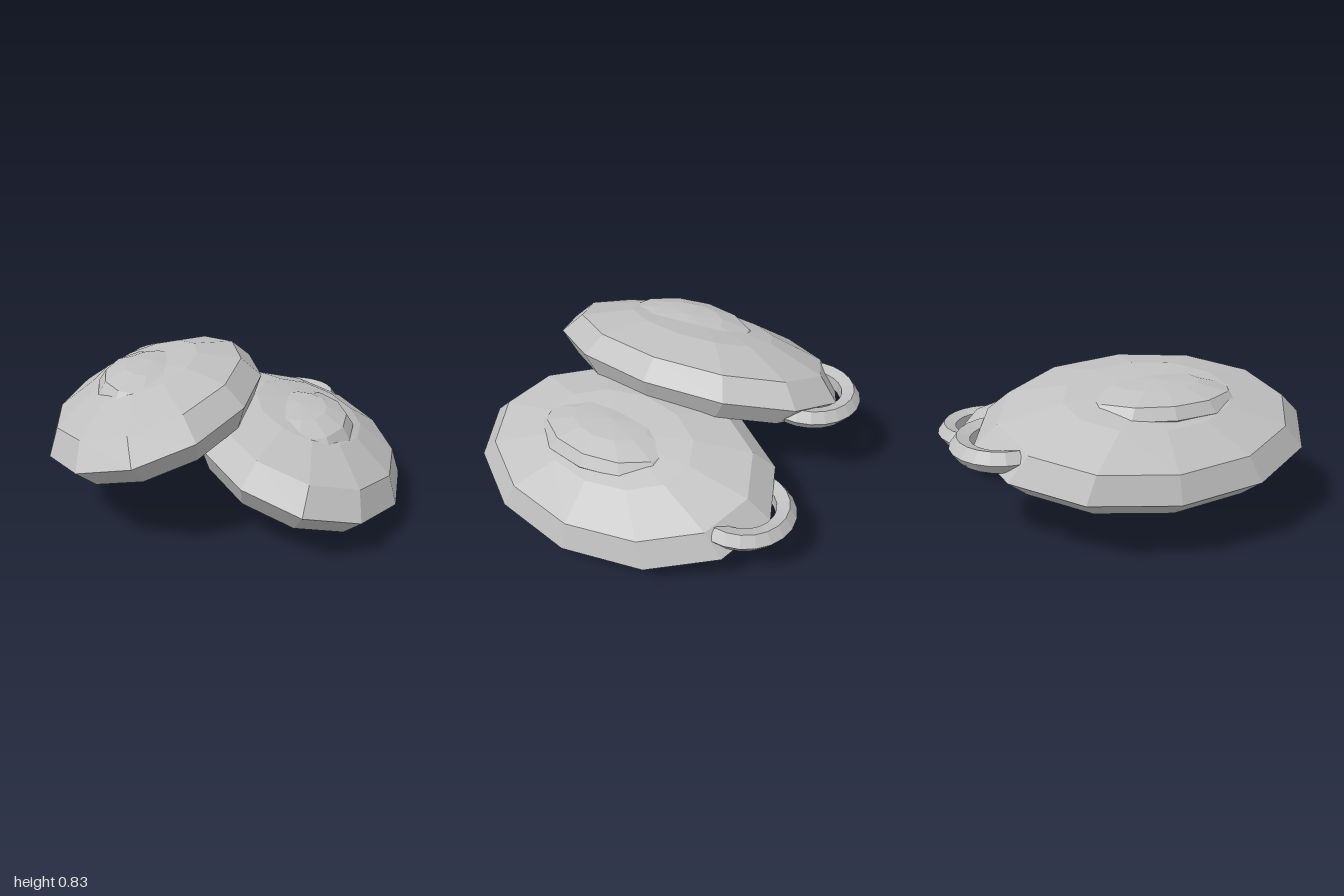
import * as THREE from 'three';

const grey = new THREE.MeshStandardMaterial({ color: 0xc0c0c0, flatShading: true });
grey.name = 'light grey';

// Faceted ellipsoid with the given half sizes
function ellipsoid(name, rx, ry, rz) {
  const geometry = new THREE.SphereGeometry(1, 12, 6).scale(rx, ry, rz);
  const mesh = new THREE.Mesh(geometry, grey);
  mesh.name = name;
  return mesh;
}

// Five-sided ring handle, open towards the front, with closed ends
function ringHandle() {
  const R = 0.23, r = 0.06, extra = 0.12;
  const handle = new THREE.Group();
  handle.name = 'ringHandle';
  const arc = Math.PI + 2 * extra;
  const ring = new THREE.Mesh(
    new THREE.TorusGeometry(R, r, 5, 12, arc).rotateZ(-extra).rotateX(-Math.PI / 2), grey);
  ring.name = 'ring';
  handle.add(ring);
  for (const end of [0, 1]) {
    const cap = new THREE.CircleGeometry(r, 5);
    // turn the cap to face out of the tube end, one corner pointing outwards
    cap.rotateX(end ? -Math.PI / 2 : Math.PI / 2);
    cap.translate(R, 0, 0).rotateZ(end ? Math.PI + extra : -extra).rotateX(-Math.PI / 2);
    const mesh = new THREE.Mesh(cap, grey);
    mesh.name = 'ringEnd';
    handle.add(mesh);
  }
  return handle;
}

// One tilted shell with its level dome and rear handle
function createHalf(name, side, y) {
  const half = new THREE.Group();
  half.name = name;

  const shell = ellipsoid('shell', 0.62, 0.25, 0.91);
  shell.position.z = 0.06;
  shell.rotation.z = -side * 0.28;

  const dome = ellipsoid('dome', 0.305, 0.122, 0.455);
  dome.position.set(side * 0.005, 0.15, 0.13);

  const handle = ringHandle();
  handle.position.set(0, 0.002, -0.683);

  half.add(shell, dome, handle);
  half.position.set(side * 0.404, y, 0);
  return half;
}

export function createModel() {
  const model = new THREE.Group();
  model.name = 'shellPair';
  model.add(createHalf('leftShell', 1, 0.297), createHalf('rightShell', -1, 0.535));
  return model;
}
